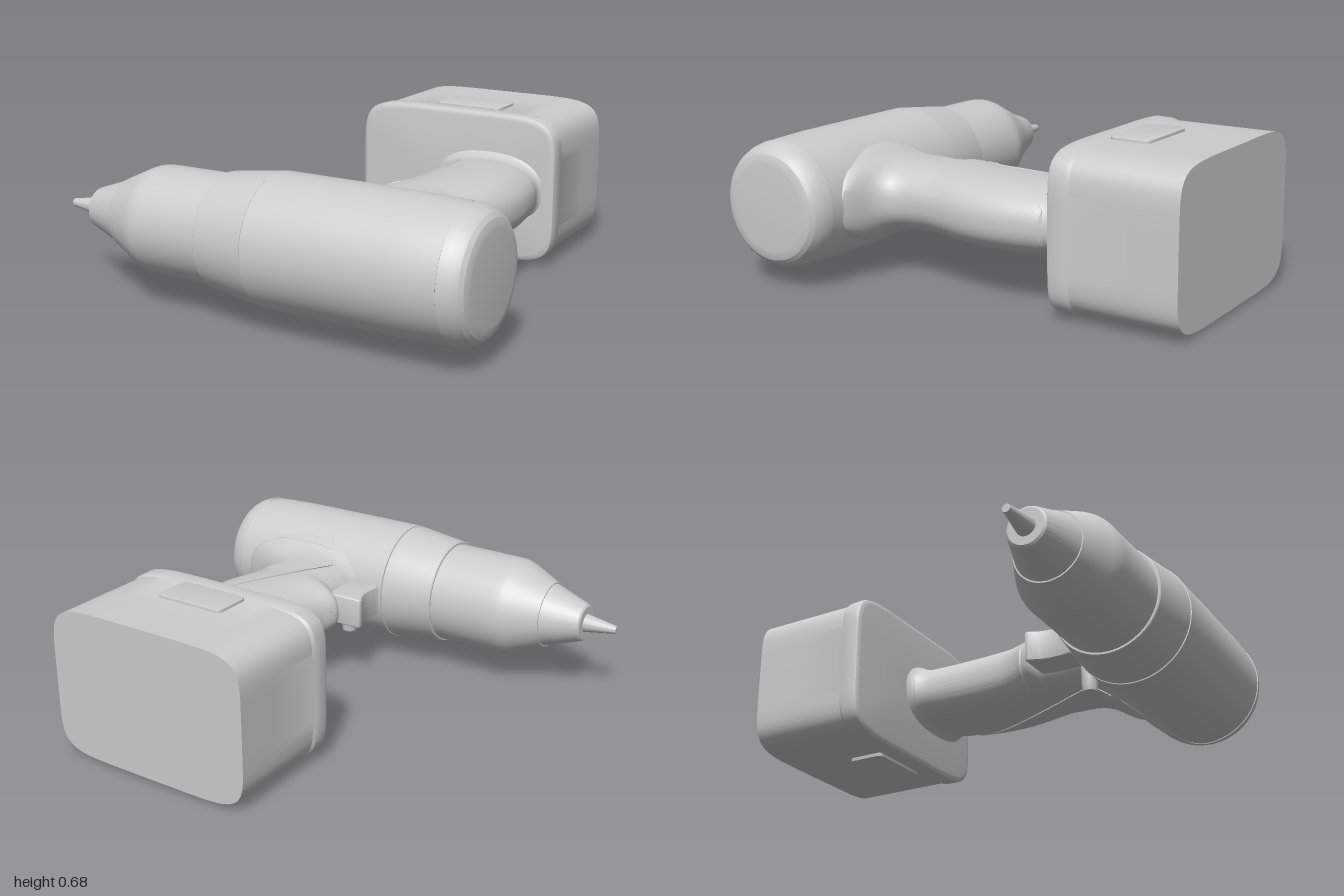
import * as THREE from 'three';
import { toCreasedNormals } from 'three/addons/utils/BufferGeometryUtils.js';

const AXIS_Y = 0.345, AXIS_Z = 0.72;
const material = new THREE.MeshStandardMaterial({ color: 0xcccccc });

function part(name, geometry, crease = 0.3) {
  const mesh = new THREE.Mesh(toCreasedNormals(geometry, crease), material);
  mesh.name = name;
  return mesh;
}

// Surface from a point rule f(u, v), both running 0..1
function grid(nu, nv, f) {
  const pos = [], idx = [], row = nu + 1;
  for (let j = 0; j <= nv; j++)
    for (let i = 0; i <= nu; i++) pos.push(...f(i / nu, j / nv));
  for (let j = 0; j < nv; j++)
    for (let i = 0; i < nu; i++) {
      const a = j * row + i, b = a + row;
      idx.push(a, a + 1, b + 1, a, b + 1, b);
    }
  const g = new THREE.BufferGeometry();
  g.setAttribute('position', new THREE.Float32BufferAttribute(pos, 3));
  g.setIndex(idx);
  return g;
}

// Turned part along the x axis of the drill, from [x, radius] pairs
function turned(name, profile) {
  const g = new THREE.LatheGeometry(profile.map(([x, r]) => new THREE.Vector2(r, x)), 72);
  g.rotateZ(-Math.PI / 2).translate(0, AXIS_Y, AXIS_Z);
  return part(name, g);
}

// Squared ellipse point at polar angle t
function squircle(t, n) {
  const c = Math.cos(t), s = Math.sin(t);
  const r = (Math.abs(c) ** n + Math.abs(s) ** n) ** (-1 / n);
  return [c * r, s * r];
}

// Linear lookup in [key, value] pairs
function lookup(table, k) {
  let i = 0;
  while (i < table.length - 2 && k > table[i + 1][0]) i++;
  const [k0, v0] = table[i], [k1, v1] = table[i + 1];
  return THREE.MathUtils.lerp(v0, v1, THREE.MathUtils.clamp((k - k0) / (k1 - k0), 0, 1));
}

// Handle sections: z, front edge x, rear edge x, half thickness
const HANDLE = [
  [-0.46, 0.12, 0.69, 0.175], [-0.435, 0.16, 0.66, 0.15], [-0.40, 0.185, 0.66, 0.136],
  [-0.34, 0.2, 0.675, 0.138], [-0.2, 0.208, 0.695, 0.143], [-0.08, 0.208, 0.695, 0.146],
  [0.04, 0.198, 0.68, 0.145], [0.11, 0.175, 0.663, 0.144], [0.155, 0.152, 0.655, 0.143],
  [0.2, 0.14, 0.648, 0.142], [0.24, 0.185, 0.643, 0.142], [0.32, 0.2, 0.645, 0.142],
  [0.38, 0.2, 0.675, 0.144], [0.42, 0.2, 0.735, 0.15], [0.45, 0.19, 0.83, 0.16],
  [0.5, 0.19, 0.84, 0.188], [0.55, 0.2, 0.8, 0.208], [0.62, 0.22, 0.75, 0.2],
];
const HANDLE_N = 2.4;

// Smooth section at height z: centre, half width, half thickness
function handleSection(z) {
  let i = 0;
  while (i < HANDLE.length - 2 && z > HANDLE[i + 1][0]) i++;
  const at = (k) => HANDLE[THREE.MathUtils.clamp(k, 0, HANDLE.length - 1)];
  const [p, a, b, q] = [at(i - 1), at(i), at(i + 1), at(i + 2)];
  const t = (z - a[0]) / (b[0] - a[0]), h = b[0] - a[0];
  const [x0, x1, hy] = [1, 2, 3].map((k) => {
    const m0 = (b[k] - p[k]) / (b[0] - p[0]) * h, m1 = (q[k] - a[k]) / (q[0] - a[0]) * h;
    return (2 * t ** 3 - 3 * t * t + 1) * a[k] + (t ** 3 - 2 * t * t + t) * m0
      + (3 * t * t - 2 * t ** 3) * b[k] + (t ** 3 - t * t) * m1;
  });
  return { cx: (x0 + x1) / 2, w: (x1 - x0) / 2, hy };
}

function handlePoint(angle, z, offset = 0) {
  const { cx, w, hy } = handleSection(z);
  const [x, y] = squircle(angle, HANDLE_N);
  return [cx + x * (w + offset), AXIS_Y + y * (hy + offset), z];
}

// Raised skin on the handle, bounded by a seam of [z, x] pairs; rim tucks in
function handleSkin(name, seam, front) {
  const z0 = seam[0][0], z1 = seam[seam.length - 1][0], nu = 40, nv = 60;
  return part(name, grid(nu, nv, (u, v) => {
    const z = THREE.MathUtils.lerp(z0, z1, v);
    const { cx, w } = handleSection(z);
    const t = THREE.MathUtils.clamp((lookup(seam, z) - cx) / w, -1, 1);
    const edge = Math.atan2((1 - Math.abs(t) ** HANDLE_N) ** (1 / HANDLE_N), t);
    const uu = THREE.MathUtils.clamp((u * nu - 1) / (nu - 2), 0, 1) * 2 - 1;
    const angle = front ? Math.PI + uu * (Math.PI - edge) : uu * edge;
    const rim = u === 0 || u === 1 || v === 0 || v === 1;
    return handlePoint(angle, z, rim ? -0.004 : 0.005);
  }), 0.5);
}

// Rear skin wrapping the handle side of the motor housing
function housingSkin() {
  const seam = [[0.31, 0.46], [0.36, 0.5], [0.41, 0.545], [0.48, 0.58], [0.6, 0.602],
    [0.8, 0.628], [0.86, 0.645], [0.892, 0.7]];
  const nu = 40;
  return part('housingSkin', grid(nu, 40, (u, v) => {
    const x = THREE.MathUtils.lerp(0.31, 0.892, v);
    const uu = THREE.MathUtils.clamp((u * nu - 1) / (nu - 2), 0, 1) * 2 - 1;
    const phi = uu * Math.acos((AXIS_Z - lookup(seam, x)) / 0.274);
    const r = lookup([[0.31, 0.276], [0.7, 0.275], [0.892, 0.265]], x)
      - (u === 0 || u === 1 ? 0.008 : 0);
    return [x, AXIS_Y + r * Math.sin(phi), AXIS_Z - r * Math.cos(phi)];
  }), 0.5);
}

// Battery pack: squared section swept along z with a slightly larger front lip
function battery() {
  const rows = [[-1, -1], [-1, 0], [-0.8, 0], [-0.54, 0], [-0.527, 0.007], [-0.465, 0.009],
    [-0.452, 0.005], [-0.446, -0.004], [-0.444, -0.016], [-0.444, -1]];
  return part('battery', grid(128, rows.length - 1, (u, v) => {
    const [z, grow] = rows[Math.round(v * (rows.length - 1))];
    const [x, y] = squircle(u * Math.PI * 2, 6.5);
    return [0.24 + x * Math.max(0, 0.474 + grow), AXIS_Y + y * Math.max(0, 0.325 + grow), z];
  }), 0.5);
}

// Outline in the x-z plane extruded upward from y0 to y1
function upright(name, shape, y0, y1, bevel) {
  const g = new THREE.ExtrudeGeometry(shape, {
    depth: y1 - y0 - 2 * bevel, bevelSize: bevel, bevelThickness: bevel,
    bevelOffset: -bevel, bevelSegments: 3, curveSegments: 10,
  });
  g.rotateX(-Math.PI / 2).translate(0, y0 + bevel, 0);
  return part(name, g, 0.5);
}

function roundedRect(x0, x1, z0, z1, r) {
  const s = new THREE.Shape();
  s.absarc(x1 - r, -z0 - r, r, 0, Math.PI / 2);
  s.absarc(x0 + r, -z0 - r, r, Math.PI / 2, Math.PI);
  s.absarc(x0 + r, -z1 + r, r, Math.PI, Math.PI * 1.5);
  s.absarc(x1 - r, -z1 + r, r, Math.PI * 1.5, Math.PI * 2);
  return s;
}

export function createModel() {
  const model = new THREE.Group();
  model.name = 'cordlessDrill';

  // Barrel, from the bit back to the motor end
  model.add(
    turned('bit', [[-0.99, 0], [-0.99, 0.017], [-0.84, 0.042], [-0.82, 0.042]]),
    turned('chuckNose', [[-0.845, 0], [-0.845, 0.076], [-0.838, 0.085], [-0.675, 0.143], [-0.66, 0.143]]),
    turned('chuckSleeve', [[-0.675, 0.1], [-0.675, 0.149], [-0.54, 0.212], [-0.515, 0.221],
      [-0.49, 0.225], [-0.46, 0.226], [-0.16, 0.228]]),
    turned('collar', [[-0.172, 0.2], [-0.172, 0.236], [-0.168, 0.24], [0.04, 0.267], [0.068, 0.269], [0.07, 0.26]]),
    turned('motorHousing', [[0.07, 0.26], [0.072, 0.272], [0.4, 0.272], [0.7, 0.271], [0.82, 0.267], [0.89, 0.262]]),
    turned('endCap', [[0.89, 0.255], [0.892, 0.265], [0.92, 0.26], [0.945, 0.251], [0.965, 0.238],
      [0.979, 0.221], [0.986, 0.2], [0.988, 0.18], [0.988, 0]]),
    housingSkin(),
  );

  // Handle with its front pad and rear skin
  model.add(
    part('handle', grid(72, 100, (u, v) =>
      handlePoint(u * Math.PI * 2, THREE.MathUtils.lerp(-0.46, 0.62, v))), 0.9),
    handleSkin('gripPad', [[-0.425, 0.18], [-0.415, 0.25], [-0.39, 0.29], [-0.34, 0.312], [-0.2, 0.32],
      [0, 0.307], [0.08, 0.296], [0.13, 0.275], [0.15, 0.245], [0.158, 0.18]], true),
    handleSkin('rearGripSkin', [[-0.395, 0.66], [-0.385, 0.645], [-0.3, 0.61], [0, 0.475],
      [0.3, 0.345], [0.4, 0.31], [0.44, 0.33], [0.5, 0.37]], false),
  );

  // Trigger with a finger hollow, and the direction button
  const trigger = new THREE.Shape();
  trigger.moveTo(0.26, -0.23);
  trigger.lineTo(0.055, -0.23);
  trigger.quadraticCurveTo(0.045, -0.232, 0.047, -0.25);
  trigger.bezierCurveTo(0.08, -0.3, 0.085, -0.36, 0.072, -0.43);
  trigger.lineTo(0.09, -0.445);
  trigger.lineTo(0.26, -0.445);
  model.add(upright('trigger', trigger, 0.275, 0.415, 0.01));
  model.add(upright('directionButton', roundedRect(0.205, 0.275, 0.41, 0.48, 0.034), 0.15, 0.3, 0.008));

  // Battery pack with release buttons above and below
  model.add(battery());
  model.add(upright('releaseButtonTop', roundedRect(0.09, 0.41, -0.71, -0.535, 0.025), 0.6, 0.683, 0.004));
  model.add(upright('releaseButtonBottom', roundedRect(0.09, 0.41, -0.71, -0.535, 0.025), 0.003, 0.08, 0.004));
  return model;
}
